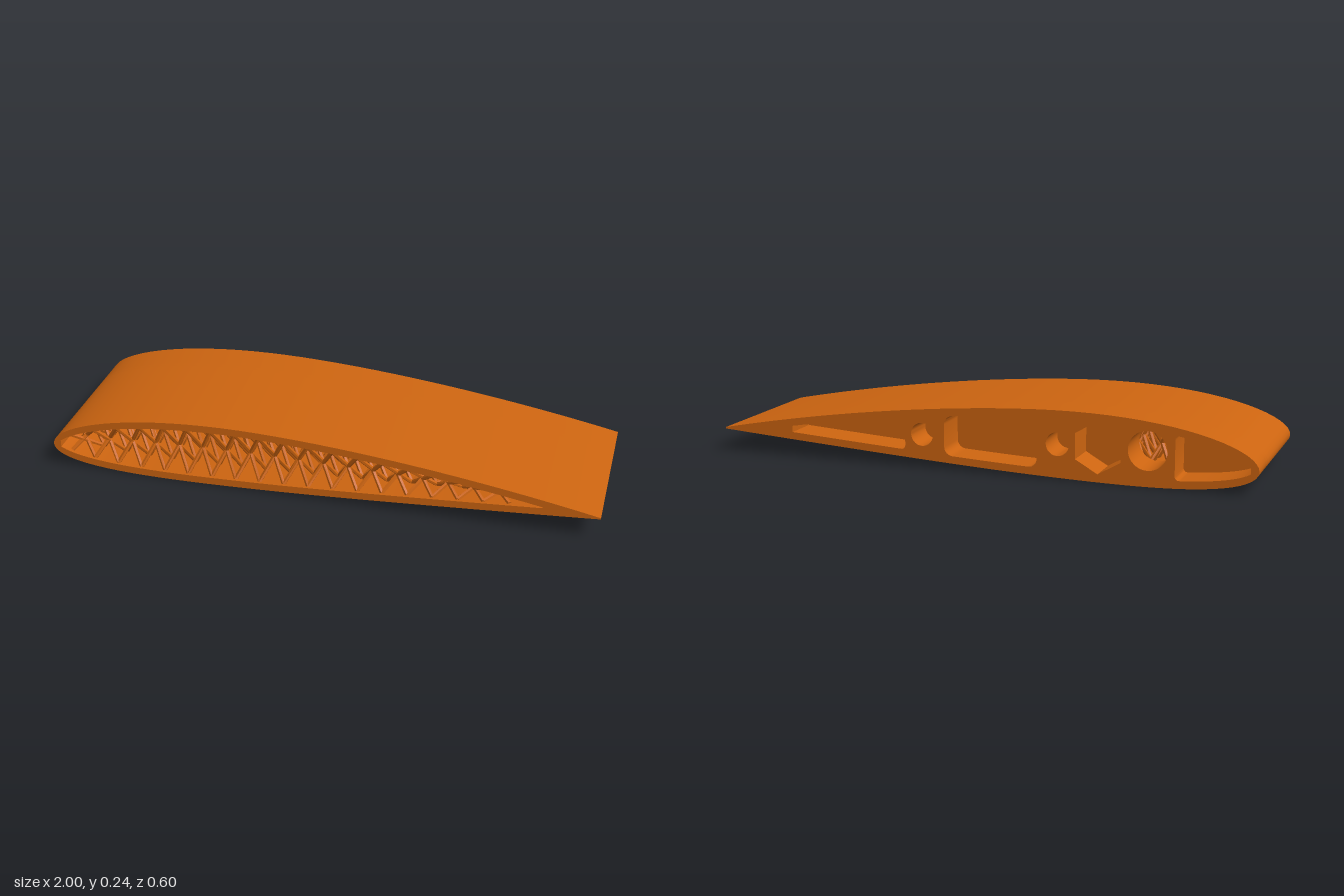
import * as THREE from 'three';
import { mergeGeometries, toCreasedNormals } from 'three/addons/utils/BufferGeometryUtils.js';

const BASE = 0.085;              // height of the chord line
const WALL = 0.027;              // skin thickness
const FRONT = 0.3, WEB = -0.15, RIB = -0.17, BACK = -0.3;

// Cambered wing section, chord 2 from x = -1 (nose) to x = 1 (tail)
const camber = (x) => {
  const c = (x + 1) / 2, p = 0.4, m = 0.02;
  const y = c < p ? (m / p ** 2) * (2 * p * c - c * c)
    : (m / (1 - p) ** 2) * (1 - 2 * p + 2 * p * c - c * c);
  return BASE + 2 * y;
};
const half = (x) => {
  const c = Math.max(0, (x + 1) / 2);
  return 1.2 * (0.2969 * Math.sqrt(c) - 0.126 * c - 0.3516 * c ** 2 + 0.2843 * c ** 3 - 0.1015 * c ** 4);
};
const innerHalf = (x) => Math.max(0.001, half(x) - WALL);
const top = (x) => camber(x) + innerHalf(x);
const bottom = (x) => camber(x) - innerHalf(x);

// Closed outline between two stations, with points bunched towards both ends
function outline(x0, x1, thickness, n = 44) {
  const upper = [], lower = [];
  for (let i = 0; i <= n; i++) {
    const x = x0 + (x1 - x0) * (1 - Math.cos((Math.PI * i) / n)) / 2;
    upper.push(new THREE.Vector2(x, camber(x) + thickness(x)));
    lower.push(new THREE.Vector2(x, camber(x) - thickness(x)));
  }
  const start = thickness(x0) < 0.0005 ? 1 : 0;
  return [...lower.slice(start), ...upper.reverse()];
}

// Pocket following the skin, its corners rounded by r0 and r1 at the two ends
const pocket = (x0, x1, r0, r1) => outline(x0, x1, (x) => {
  let h = innerHalf(x);
  if (r0 && x < x0 + r0) h -= r0 - Math.sqrt(Math.max(0, r0 ** 2 - (x0 + r0 - x) ** 2));
  if (r1 && x > x1 - r1) h -= r1 - Math.sqrt(Math.max(0, r1 ** 2 - (x - x1 + r1) ** 2));
  return Math.max(h, 0.001);
}, 28);

function polygon(x, y, r, sides) {
  const points = [];
  for (let i = 0; i < sides; i++) {
    const a = Math.PI / 2 + (i / sides) * Math.PI * 2;
    points.push(new THREE.Vector2(x + r * Math.cos(a), y + r * Math.sin(a)));
  }
  return points;
}

export function createModel() {
  const group = new THREE.Group();
  group.name = 'wingSection';
  const material = new THREE.MeshStandardMaterial({ color: 0xcc6410 });

  const add = (name, geometry) => {
    const mesh = new THREE.Mesh(geometry, material);
    mesh.name = name;
    group.add(mesh);
  };

  // Slice of the wing from z0 to z1 with the given holes
  const slice = (name, z0, z1, holes) => {
    const shape = new THREE.Shape(outline(-1, 1, half));
    shape.holes = holes.map((h) => new THREE.Path(h));
    const geometry = new THREE.ExtrudeGeometry(shape, { depth: z1 - z0, bevelEnabled: false });
    geometry.translate(0, 0, z0);
    add(name, toCreasedNormals(geometry, 0.45));
  };

  const sparHole = polygon(-0.62, 0.126, 0.069, 40);

  // Hollow front part, thin web and rear rib with its pockets
  slice('hollowSkin', WEB, FRONT, [outline(-0.972, 0.8, innerHalf)]);
  slice('web', RIB, WEB, [sparHole]);
  slice('rearRib', BACK, RIB, [
    sparHole,
    pocket(-0.972, -0.715, 0, 0.015),
    polygon(-0.445, 0.123, 0.093, 6),
    polygon(-0.3, camber(-0.3), 0.042, 28),
    pocket(-0.225, 0.12, 0.03, 0.03),
    polygon(0.205, camber(0.205), 0.042, 28),
    pocket(0.27, 0.72, 0.015, 0),
  ]);

  // Lattice of diagonal struts filling the hollow
  const struts = [];
  const strut = (a, b) => {
    const dir = new THREE.Vector3().subVectors(b, a);
    const geometry = new THREE.CylinderGeometry(0.008, 0.008, dir.length(), 6, 1);
    geometry.applyQuaternion(new THREE.Quaternion().setFromUnitVectors(
      new THREE.Vector3(0, 1, 0), dir.clone().normalize()));
    const mid = a.clone().add(b).multiplyScalar(0.5);
    struts.push(geometry.translate(mid.x, mid.y, mid.z));
  };
  const cell = 0.09, rows = 5, z0 = WEB + 0.005, dz = (FRONT - 0.015 - z0) / rows;
  for (let i = 0; i < 18; i++) {
    const xa = -0.935 + i * cell, xb = xa + cell;
    for (let j = 0; j < rows; j++) {
      const za = z0 + j * dz, zb = za + dz;
      for (const [p, q] of [[za, zb], [zb, za]]) {
        strut(new THREE.Vector3(xa, bottom(xa), p), new THREE.Vector3(xb, top(xb), q));
        strut(new THREE.Vector3(xb, bottom(xb), p), new THREE.Vector3(xa, top(xa), q));
      }
    }
  }
  add('latticeStruts', toCreasedNormals(mergeGeometries(struts), 0.5));

  return group;
}
